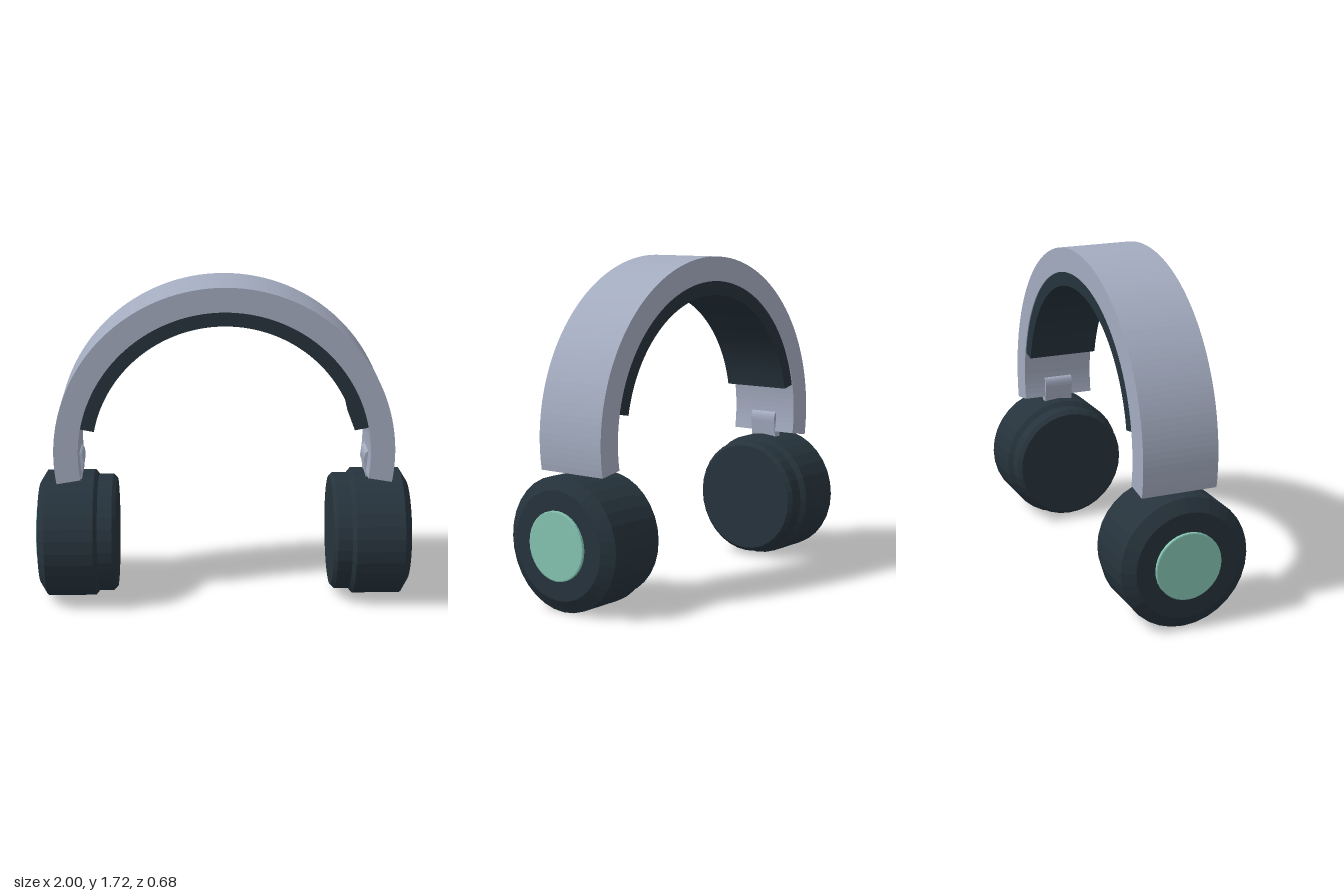
import * as THREE from 'three';

const frameGrey = new THREE.MeshStandardMaterial({ color: 0xa3abbf });
const darkSlate = new THREE.MeshStandardMaterial({ color: 0x26333c });
const mintGreen = new THREE.MeshStandardMaterial({ color: 0x84c4b2 });

const BAND_Y = 0.83;
const CUP_Y = 0.343;

function add(parent, name, geometry, material) {
  const mesh = new THREE.Mesh(geometry, material);
  mesh.name = name;
  parent.add(mesh);
  return mesh;
}

// Shape in the xy plane, extruded evenly to both sides of z = 0
function slab(shape, depth, curveSegments) {
  return new THREE.ExtrudeGeometry(shape, { depth, bevelEnabled: false, curveSegments })
    .translate(0, 0, -depth / 2);
}

// Arch between two radii, its ends at the given angle from horizontal
function arch(outer, inner, degrees, depth) {
  const a = THREE.MathUtils.degToRad(degrees);
  const shape = new THREE.Shape();
  shape.absarc(0, 0, outer, a, Math.PI - a, false);
  shape.absarc(0, 0, inner, Math.PI - a, a, true);
  return slab(shape, depth, 48).translate(0, BAND_Y, 0);
}

// Faceted turned part, profile given as [radius, distance along +x]
function turned(profile) {
  const points = profile.map(([r, x]) => new THREE.Vector2(r, x));
  const geometry = new THREE.LatheGeometry(points, 32).toNonIndexed();
  geometry.computeVertexNormals();
  return geometry.rotateZ(-Math.PI / 2);
}

export function createModel() {
  const model = new THREE.Group();
  model.name = 'headphones';

  // Headband with its inner cushion
  add(model, 'headband', arch(0.89, 0.763, -9.5, 0.4), frameGrey);
  add(model, 'headbandCushion', arch(0.765, 0.69, 11.3, 0.39), darkSlate);

  // Turned parts of one earpiece
  const shell = turned([[0, 0.66], [0.31, 0.665], [0.34, 0.69], [0.34, 0.945], [0.275, 0.985], [0, 0.985]]);
  const cushion = turned([[0, 0.573], [0.295, 0.573], [0.315, 0.593], [0.315, 0.67], [0, 0.67]]);
  const disc = turned([[0, 0.98], [0.175, 0.98], [0.175, 0.998], [0.17, 1], [0, 1]]);

  for (const side of [1, -1]) {
    const ear = new THREE.Group();
    ear.name = side > 0 ? 'leftEarpiece' : 'rightEarpiece';
    model.add(ear);

    const cup = new THREE.Group();
    cup.name = 'earCup';
    cup.position.y = CUP_Y;
    cup.rotation.y = side > 0 ? 0 : Math.PI;
    ear.add(cup);
    add(cup, 'cupShell', shell, darkSlate);
    add(cup, 'earCushion', cushion, darkSlate);
    add(cup, 'outerDisc', disc, mintGreen);

    // Rounded hinge arm joining the band to the cup
    const arm = new THREE.Shape();
    arm.moveTo(side * 0.80, 0.64);
    arm.lineTo(side * 0.757, 0.64);
    arm.lineTo(side * 0.743, 0.765);
    arm.quadraticCurveTo(side * 0.742, 0.81, side * 0.765, 0.815);
    arm.lineTo(side * 0.80, 0.80);
    add(ear, 'hingeArm', slab(arm, 0.16, 6), frameGrey);
  }
  return model;
}
